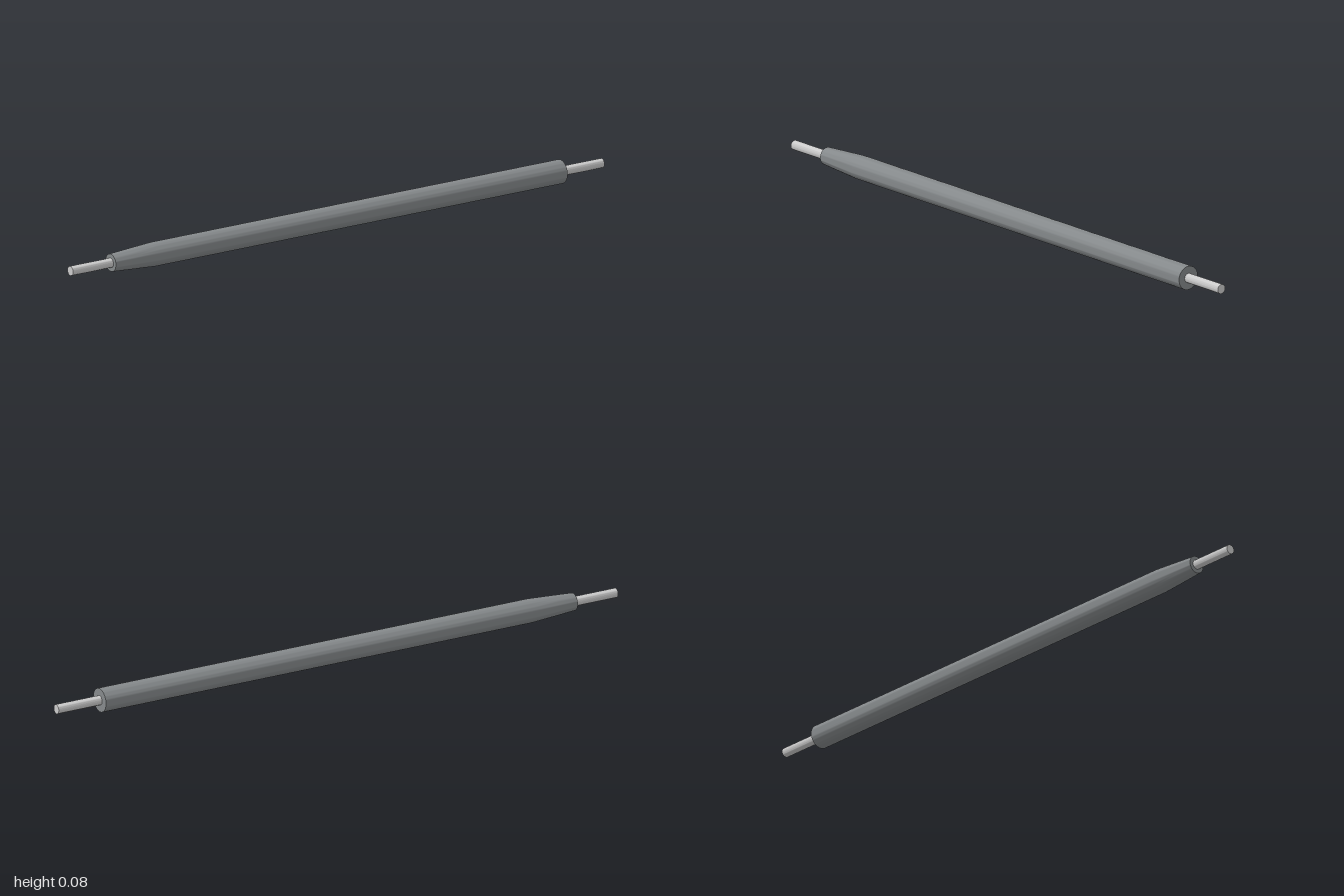
import * as THREE from 'three';
import { toCreasedNormals } from 'three/addons/utils/BufferGeometryUtils.js';

const R = 0.0375;    // barrel radius
const PIN = 0.0148;  // pin radius

// Solid of revolution along x from [x, radius] pairs, closed at both ends
function turned(name, profile, color) {
  const ends = [[profile[0][0], 0], ...profile, [profile[profile.length - 1][0], 0]];
  const points = ends.map(([x, r]) => new THREE.Vector2(r, x));
  const geometry = new THREE.LatheGeometry(points, 48).rotateZ(-Math.PI / 2);
  const mesh = new THREE.Mesh(
    toCreasedNormals(geometry, Math.PI / 6),
    new THREE.MeshStandardMaterial({ color })
  );
  mesh.name = name;
  mesh.position.y = R;
  return mesh;
}

export function createModel() {
  const group = new THREE.Group();
  group.name = 'rod';

  // Barrel, tapering towards -x
  group.add(turned('barrel', [
    [-0.848, 0.0275], [-0.78, 0.032], [-0.69, R], [0.845, R]
  ], 0x85898b));

  // Thin pins protruding from both ends
  group.add(turned('rightPin', [[-1, PIN], [-0.84, PIN]], 0xcccccc));
  group.add(turned('leftPin', [[0.84, PIN], [1, PIN]], 0xcccccc));

  return group;
}
